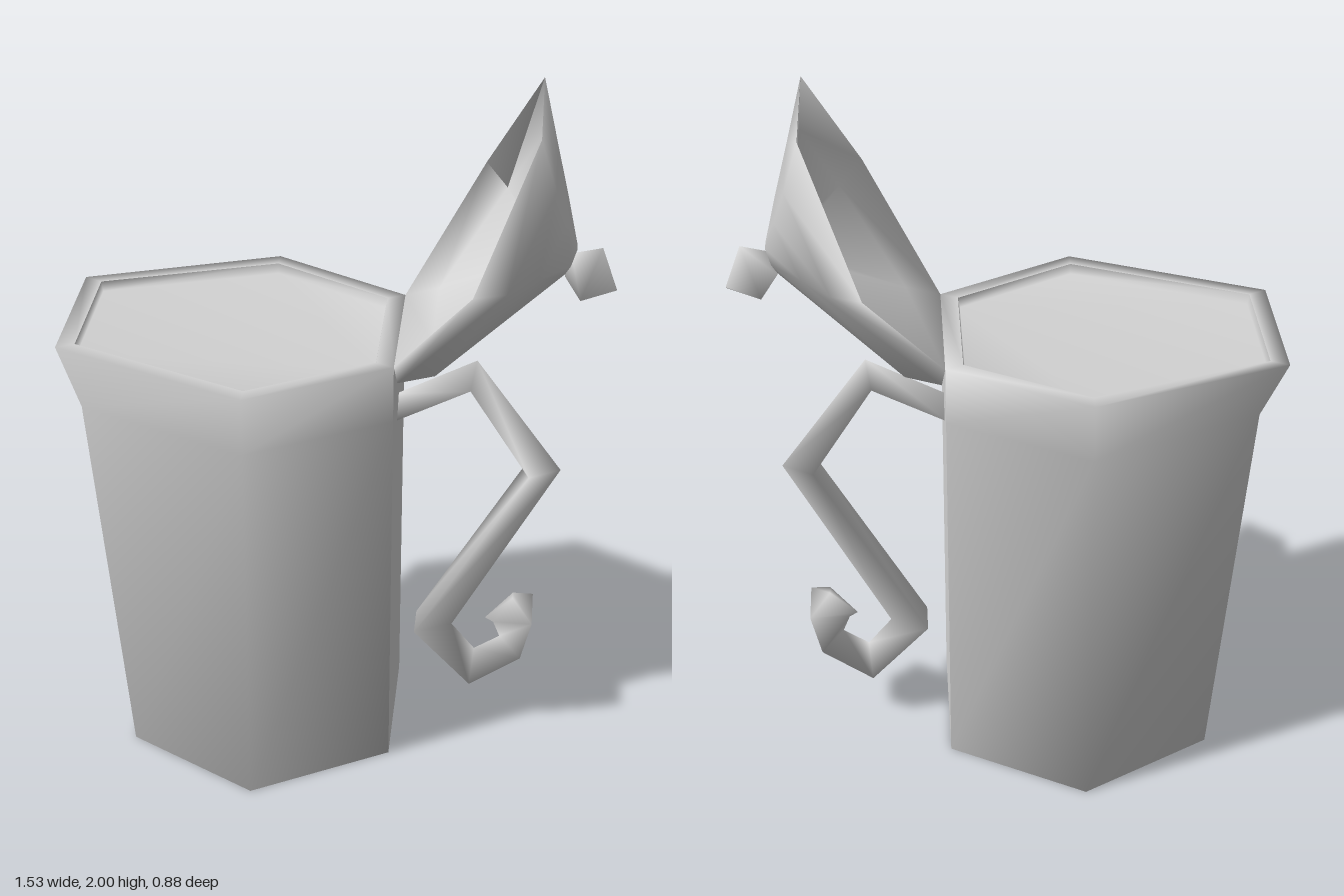
import * as THREE from 'three';

const metal = new THREE.MeshStandardMaterial({ color: 0xd2d2d2 });
metal.name = 'pewter grey';

function mesh(name, points, index) {
  const g = new THREE.BufferGeometry();
  g.setAttribute('position', new THREE.Float32BufferAttribute(points.flat(), 3));
  g.setIndex(index);
  g.computeVertexNormals();
  const m = new THREE.Mesh(g, metal);
  m.name = name;
  return m;
}

// Joins rings (counter-clockwise seen from the far end) into a smooth skin;
// side 0 is left open for the first openRows rows
function loft(name, rings, { start = true, end = true, openRows = 0 } = {}) {
  const n = rings[0].length, index = [];
  for (let k = 0; k < rings.length - 1; k++) {
    for (let i = k < openRows ? 1 : 0; i < n; i++) {
      const j = (i + 1) % n, a = k * n + i, b = k * n + j;
      index.push(a, b, b + n, a, b + n, a + n);
    }
  }
  const last = (rings.length - 1) * n;
  for (let i = 1; i < n - 1; i++) {
    if (start) index.push(0, i + 1, i);
    if (end) index.push(last, last + i, last + i + 1);
  }
  return mesh(name, rings.flat(), index);
}

// Six-sided body ring; spoutX is the pouring edge, spoutZ its sideways shift
const bodyRing = (y, spoutX, spoutZ = 0, inset = 0) => {
  const b = 0.17 - inset, s = spoutX + inset, z = 0.22 - inset * 0.5, w = 0.44 - inset;
  return [
    [b, y, z], [b, y, -z], [-0.22, y, -w],
    [s, y, spoutZ - z], [s, y, spoutZ + z], [-0.22, y, w],
  ];
};

// Six-sided lid ring from [x, y, halfDepth] at the hinge, middle and top
const lidRing = (h, m, t) => [
  ...[h, m, t].map(([x, y, z]) => [x, y, -z]),
  ...[t, m, h].map(([x, y, z]) => [x, y, z]),
];

export function createModel() {
  const model = new THREE.Group();
  model.name = 'lidded jug';

  // Body with a flared pouring edge and a narrow lip
  const rings = [
    bodyRing(0, -0.6),
    bodyRing(1.15, -0.7),
    bodyRing(1.32, -0.77, -0.025),
    bodyRing(1.32, -0.77, -0.025, 0.05),
  ];
  model.add(loft('body', rings, { end: false, openRows: 2 }));

  // Shallow recess inside the lip
  model.add(loft('topRecess',
    [rings[3], bodyRing(1.29, -0.77, -0.025, 0.055)], { start: false }));

  // Flat crisp panel behind the handle
  model.add(mesh('backPanel',
    [rings[0][0], rings[0][1], rings[2][1], rings[2][0]], [0, 1, 2, 0, 2, 3]));

  // Open lid, a thin pointed shell: hollow inside, over the rim, then the outside
  const lid = new THREE.Group();
  lid.name = 'lid';
  lid.add(loft('lidShell', [
    lidRing([0.575, 1.555, 0.02], [0.585, 1.575, 0.03], [0.595, 1.61, 0.02]),
    lidRing([0.27, 1.375, 0.165], [0.45, 1.63, 0.31], [0.55, 1.87, 0.16]),
    lidRing([0.17, 1.32, 0.22], [0.385, 1.65, 0.44], [0.54, 2, 0.22]),
    lidRing([0.18, 1.272, 0.22], [0.47, 1.6, 0.31], [0.585, 1.83, 0.16]),
    lidRing([0.28, 1.272, 0.17], [0.55, 1.58, 0.175], [0.62, 1.71, 0.09]),
    lidRing([0.62, 1.525, 0.02], [0.635, 1.56, 0.04], [0.65, 1.6, 0.02]),
  ]));

  // Small three-sided knob
  lid.add(loft('lidKnob', [
    [[0.635, 1.58, 0], [0.62, 1.52, 0.02], [0.62, 1.52, -0.02]],
    [[0.72, 1.6, 0], [0.665, 1.475, 0.078], [0.665, 1.475, -0.078]],
    [[0.765, 1.475, 0], [0.764, 1.474, 0.002], [0.764, 1.474, -0.002]],
  ]));
  model.add(lid);

  // Curled handle: triangular section, [ridge x, y, flat side x, y, half depth]
  const handle = [
    [0.16, 1.115, 0.16, 1.055, 0.055],
    [0.39, 1.235, 0.375, 1.165, 0.055],
    [0.64, 0.89, 0.55, 0.89, 0.055],
    [0.34, 0.33, 0.23, 0.33, 0.055],
    [0.41, 0.245, 0.4, 0.15, 0.055],
    [0.485, 0.295, 0.55, 0.255, 0.055],
    [0.465, 0.345, 0.58, 0.4, 0.08],
    [0.44, 0.36, 0.52, 0.445, 0.015],
  ].map(([rx, ry, fx, fy, w]) => [[fx, fy, w], [fx, fy, -w], [rx, ry, 0]]);
  model.add(loft('handle', handle));

  return model;
}
